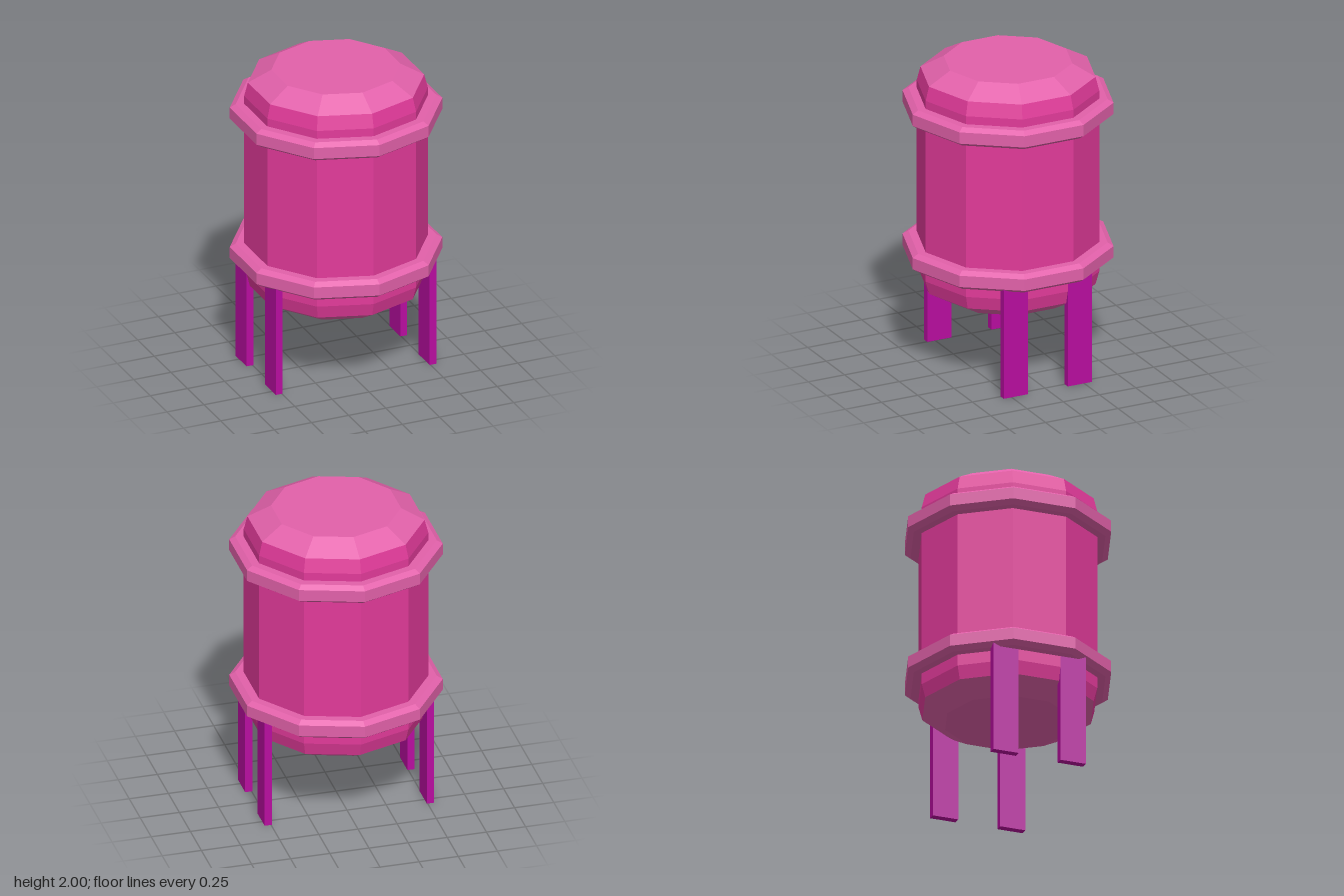
import * as THREE from 'three';

const SIDES = 10;

export function createModel() {
  const group = new THREE.Group();
  const material = (name, color) =>
    new THREE.MeshStandardMaterial({ name, color, flatShading: true });
  const bodyPink = material('body pink', 0xe23a9a);
  const trimPink = material('trim pink', 0xe261aa);
  const legMagenta = material('leg magenta', 0xb80d9f);

  // Ten-sided turned part; profile is [radius, y], bottom to top
  function turned(name, profile, mat) {
    const points = profile.map(([r, y]) => new THREE.Vector2(r, y));
    const mesh = new THREE.Mesh(new THREE.LatheGeometry(points, SIDES), mat);
    mesh.name = name;
    group.add(mesh);
    return mesh;
  }

  // Barrel walls, slightly tapered at both ends
  turned('barrel', [[0.545, 0.545], [0.568, 0.63], [0.568, 1.83], [0.545, 1.92]], bodyPink);

  // Bevelled end caps
  turned('bottomCap', [[0, 0.462], [0.4, 0.462], [0.545, 0.545]], trimPink);
  turned('topCap', [[0.545, 1.92], [0.4, 2], [0, 2]], trimPink);

  // Two chamfered hoops
  const hoop = [[0.55, 0], [0.62, 0], [0.657, 0.025], [0.657, 0.1], [0.62, 0.122], [0.55, 0.122]];
  for (const [name, y] of [['lowerHoop', 0.703], ['upperHoop', 1.655]]) {
    turned(name, hoop, trimPink).position.y = y;
  }

  // Four flat legs
  const legGeometry = new THREE.BoxGeometry(0.046, 0.72, 0.167);
  for (const x of [-1, 1]) {
    for (const z of [-1, 1]) {
      const leg = new THREE.Mesh(legGeometry, legMagenta);
      leg.name = (z > 0 ? 'front' : 'back') + (x > 0 ? 'Left' : 'Right') + 'Leg';
      leg.position.set(x * 0.518, 0.36, z * 0.221);
      group.add(leg);
    }
  }
  return group;
}
